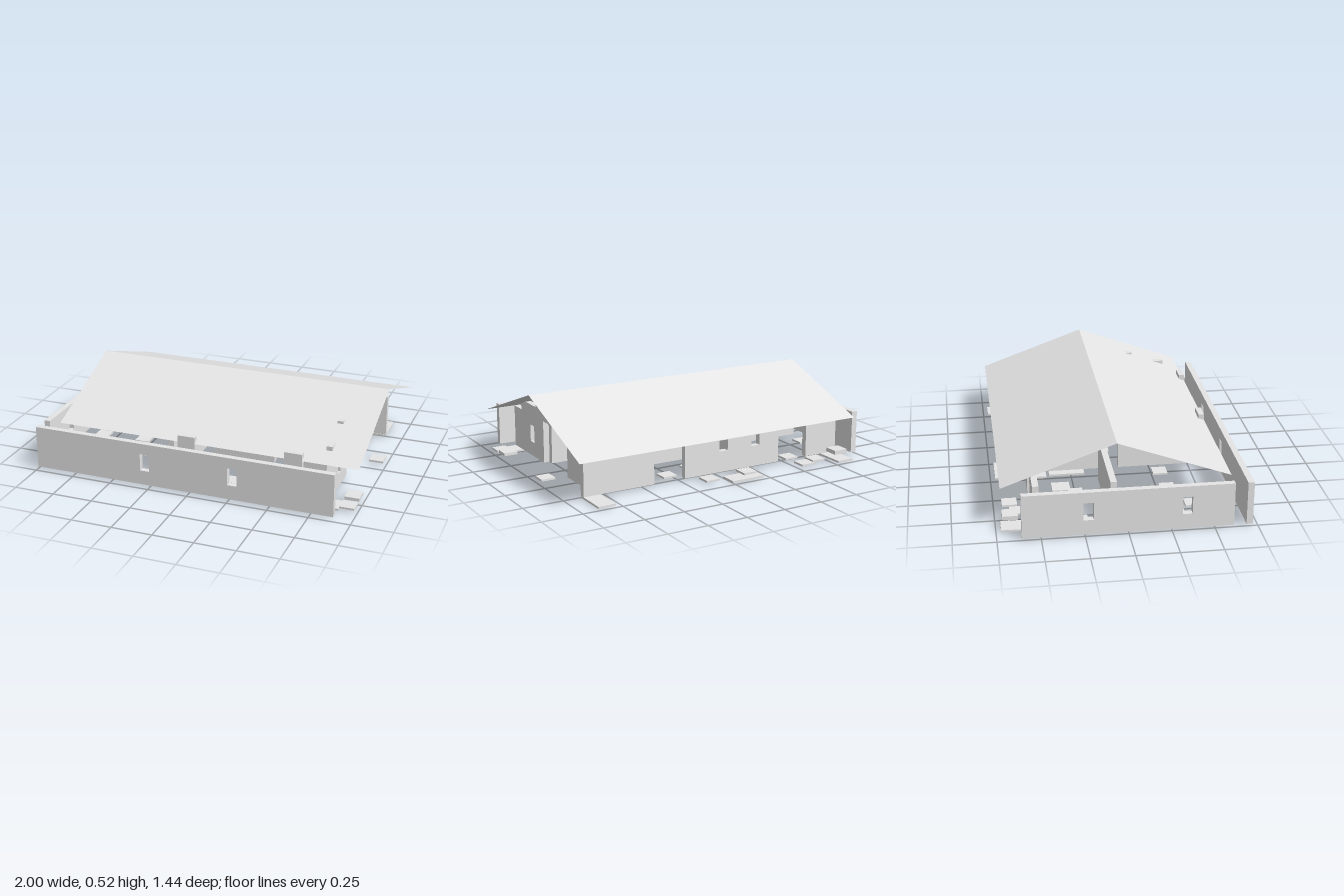
import * as THREE from 'three';

export function createModel() {
  const model = new THREE.Group();
  const plaster = new THREE.MeshStandardMaterial({ color: 0xe6e6e6 });
  plaster.name = 'pale grey';
  const roofGrey = new THREE.MeshStandardMaterial({ color: 0xe6e6e6, side: THREE.DoubleSide });
  roofGrey.name = 'roof grey';
  const BASE = 0.015, TOP = 0.28, T = 0.037;

  function box(name, x0, x1, y0, y1, z0, z1) {
    const mesh = new THREE.Mesh(new THREE.BoxGeometry(x1 - x0, y1 - y0, z1 - z0), plaster);
    mesh.position.set((x0 + x1) / 2, (y0 + y1) / 2, (z0 + z1) / 2);
    mesh.name = name;
    model.add(mesh);
  }

  // Upright wall from an outline, with window holes centred at the given positions
  function wall(name, outline, windows, alongZ, offset, sill = 0.105) {
    const shape = new THREE.Shape(outline.map(([a, b]) => new THREE.Vector2(a, b)));
    for (const c of windows) {
      const hole = [[-0.029, sill], [-0.029, 0.213], [0.029, 0.213], [0.029, sill]];
      shape.holes.push(new THREE.Path(hole.map(([a, b]) => new THREE.Vector2(c + a, b))));
    }
    const mesh = new THREE.Mesh(new THREE.ExtrudeGeometry(shape, { depth: T, bevelEnabled: false }), plaster);
    mesh.name = name;
    if (alongZ) {
      mesh.rotation.y = -Math.PI / 2;
      mesh.position.x = offset + T;
    } else {
      mesh.position.z = offset;
    }
    model.add(mesh);
  }
  const rect = (a, b) => [[a, BASE], [b, BASE], [b, TOP], [a, TOP]];

  // Outer walls
  wall('frontWall', rect(-1, 0.89), [-0.28, 0.275], false, 0.683);
  wall('rightWall', rect(-0.61, 0.61), [-0.23, 0.337], true, -1);
  wall('backWallLeft', rect(0.43, 0.89), [], false, -0.538);
  wall('backWallMiddle', rect(-0.45, 0.22), [-0.05, -0.28], false, -0.538, 0.145);
  wall('backWallRight', rect(-0.89, -0.66), [], false, -0.538);

  // Stepped gable wall with a wide doorway
  wall('gableWall', [
    [0.61, BASE], [0.61, TOP], [0.5, TOP], [0.5, 0.345], [0.28, 0.345], [0.28, 0.415],
    [-0.163, 0.415], [-0.163, 0.345], [-0.385, 0.345], [-0.385, TOP], [-0.5, TOP],
    [-0.5, BASE], [-0.165, BASE], [-0.165, TOP], [0.17, TOP], [0.17, BASE],
  ], [0.337], true, 0.775);

  // Inner walls around the corridor
  wall('crossWall', [
    [0.61, BASE], [0.61, TOP], [-0.5, TOP], [-0.5, BASE],
    [-0.055, BASE], [-0.055, 0.275], [0.055, 0.275], [0.055, BASE],
  ], [], true, -0.17);
  wall('corridorFrontWall', rect(-0.05, 0.35), [], false, 0.132);
  wall('corridorFrontWallEnd', rect(0.55, 0.775), [], false, 0.132);
  wall('corridorBackWall', rect(0.41, 0.775), [], false, -0.202);
  wall('corridorBackWallInner', rect(-0.133, 0.25), [], false, -0.202);
  wall('sideRoomWall', rect(-0.89, -0.33), [], false, -0.092);

  // Door piers that rise through the front eave
  for (const x of [-0.11, 0.555]) box('doorPier', x, x + 0.108, BASE, 0.32, 0.573, 0.61);

  // Roof as two thin slopes
  const roof = new THREE.BufferGeometry();
  const a = [-0.89, 0.28, 0.61], b = [1, 0.28, 0.61], c = [1, 0.52, -0.055], d = [-0.89, 0.52, -0.055];
  const e = [1, 0.28, -0.72], f = [-0.89, 0.28, -0.72];
  roof.setAttribute('position', new THREE.Float32BufferAttribute(
    [a, b, c, a, c, d, d, c, e, d, e, f].flat(), 3));
  roof.computeVertexNormals();
  const roofMesh = new THREE.Mesh(roof, roofGrey);
  roofMesh.name = 'roof';
  model.add(roofMesh);

  // Small raised floor slabs, placed by centre x and z
  const slabs = [
    [0.31, 0.5], [0.19, 0.49], [0.26, 0.25], [0.35, -0.07], [0.1, -0.02], [0.72, -0.11],
    [0.6, -0.11], [0.46, -0.11], [0.38, 0.05], [0.61, 0.24], [0.29, -0.44], [0.09, -0.37],
    [-0.56, 0.51], [-0.71, 0.42], [-0.49, 0.31], [-0.27, 0.3], [-0.22, -0.45], [-0.49, -0.25],
    [-0.55, 0.13], [-0.83, 0.31], [-0.83, 0.15], [-0.55, -0.5], [-0.835, -0.26],
  ];
  for (const [x, z] of slabs) box('floorSlab', x - 0.045, x + 0.045, 0.015, 0.027, z - 0.045, z + 0.045);

  // Larger slabs lying on the ground
  const groundSlabs = [
    [0.835, 0.555], [0.605, 0.555], [0.495, 0.555], [-0.165, -0.22], [-0.165, -0.33], [-0.385, -0.33],
    [0.835, -0.555], [0.835, -0.665], [-0.055, -0.665], [-0.165, -0.665], [-0.835, -0.555], [-0.835, -0.665],
  ];
  for (const [x, z] of groundSlabs) box('groundSlab', x - 0.055, x + 0.055, 0.002, 0.014, z - 0.055, z + 0.055);

  // Doorstep slabs outside the walls
  box('backStep', 0.06, 0.15, 0.014, 0.026, -0.67, -0.58);
  box('backStep', -0.21, -0.12, 0.014, 0.026, -0.66, -0.57);
  box('backStep', -0.61, -0.52, 0.014, 0.026, -0.7, -0.61);
  box('backStep', -0.72, -0.63, 0.014, 0.026, -0.66, -0.57);
  box('raisedStep', -0.85, -0.76, 0.055, 0.08, -0.71, -0.62);
  box('frontSideStep', 0.89, 0.98, 0.014, 0.026, 0.51, 0.6);
  box('frontSideStepUpper', 0.89, 0.98, 0.02, 0.038, 0.4, 0.49);
  box('doorwayStep', 0.89, 0.98, 0.014, 0.026, -0.16, -0.07);

  return model;
}
